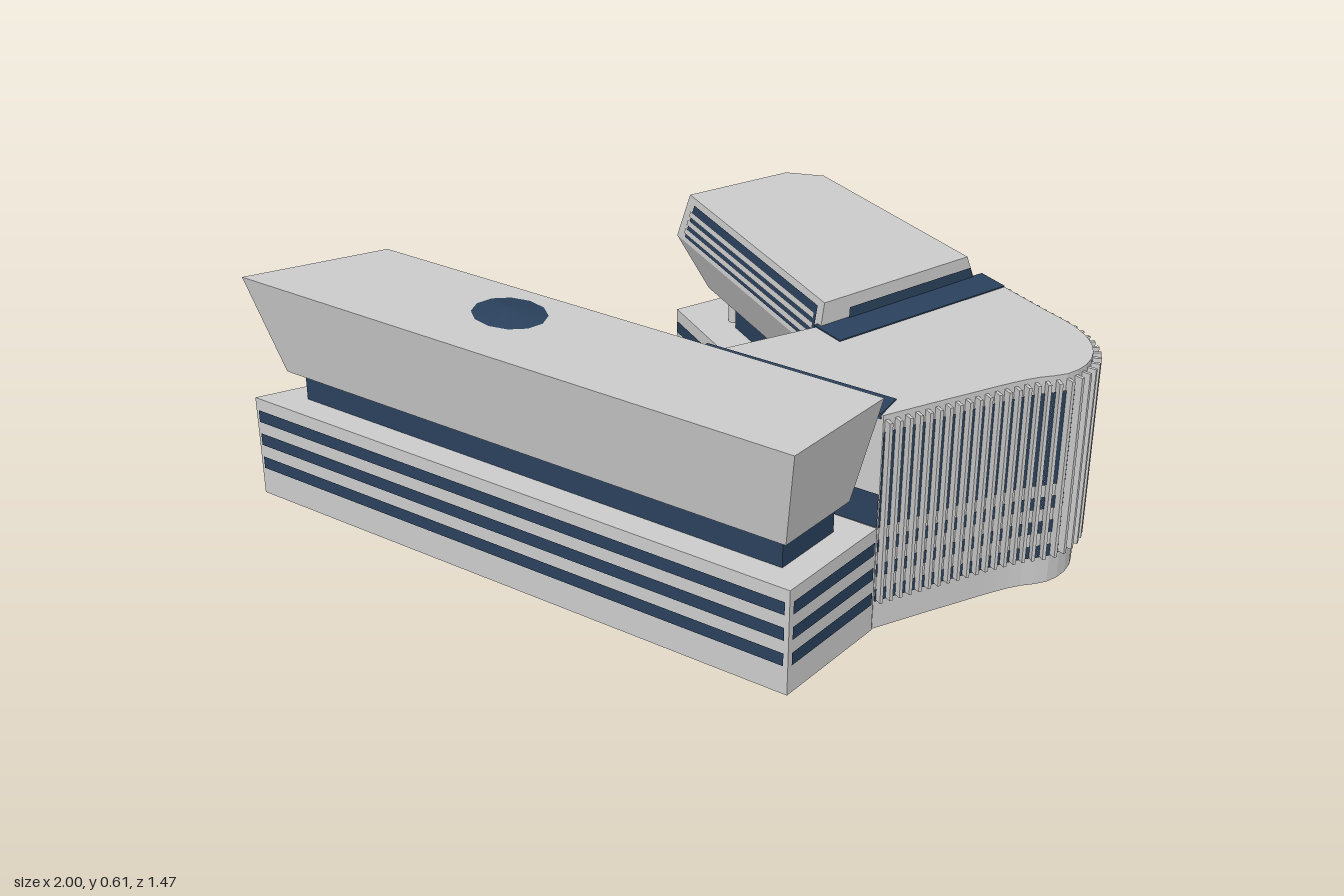
import * as THREE from 'three';

const GREY = new THREE.MeshStandardMaterial({ color: 0xcccccc, flatShading: true, side: THREE.DoubleSide });
const GLASS = new THREE.MeshStandardMaterial({ color: 0x2a415c, flatShading: true });

// Plan outlines as [x, z], counter-clockwise seen from above
const SOUTH = [[-1, 0.2], [0.423, 0.732], [0.565, 0.45], [-0.72, -0.03]];
const NORTH = [[0.36, 0.07], [0.70, -0.31], [0.28, -0.735], [0.13, -0.735], [-0.105, -0.51]];
const BOW = [[0.565, 0.445], [0.715, 0.32], [0.86, 0.205], [0.94, 0.16], [0.98, 0.09], [0.98, 0.01],
  [0.94, -0.07], [0.85, -0.16], [0.70, -0.31]];
const bowCurve = new THREE.CatmullRomCurve3(BOW.map(([x, z]) => new THREE.Vector3(x, 0, z)), false, 'centripetal');
const bow = bowCurve.getSpacedPoints(32).map(p => [p.x, p.z]);
const COURT = [[0.36, 0.06], [0.1, 0.275]];
const LOBBY = [...bow, ...COURT];

// Outward normal of the edge p -> q
function edgeNormal(p, q) {
  const dx = q[0] - p[0], dz = q[1] - p[1], l = Math.hypot(dx, dz);
  return [-dz / l, dx / l];
}

// Move each edge of an outline inwards by its own distance
function inset(poly, d) {
  const n = poly.length, dist = i => (Array.isArray(d) ? d[i] : d);
  return poly.map((v, i) => {
    const h = (i + n - 1) % n;
    const a = edgeNormal(poly[h], v), b = edgeNormal(v, poly[(i + 1) % n]);
    const ca = a[0] * v[0] + a[1] * v[1] - dist(h), cb = b[0] * v[0] + b[1] * v[1] - dist(i);
    const det = a[0] * b[1] - a[1] * b[0];
    return [(ca * b[1] - a[1] * cb) / det, (a[0] * cb - ca * b[0]) / det];
  });
}

function fromTriangles(pos) {
  const g = new THREE.BufferGeometry();
  g.setAttribute('position', new THREE.Float32BufferAttribute(pos, 3));
  g.computeVertexNormals();
  return g;
}

// Body through stacked outlines: layers = [[outline, y], ...] from the bottom up
function loft(layers, openBottom = false) {
  const rings = layers.map(([o, y]) => o.map(([x, z]) => [x, y, z]));
  const n = rings[0].length, pos = [];
  for (let k = 0; k + 1 < rings.length; k++) {
    for (let i = 0; i < n; i++) {
      const j = (i + 1) % n, lo = rings[k], up = rings[k + 1];
      pos.push(...lo[i], ...lo[j], ...up[j], ...lo[i], ...up[j], ...up[i]);
    }
  }
  const cap = (ring, flip) => {
    const tris = THREE.ShapeUtils.triangulateShape(ring.map(p => new THREE.Vector2(p[0], -p[2])), []);
    for (const [a, b, c] of tris) pos.push(...ring[a], ...ring[flip ? c : b], ...ring[flip ? b : c]);
  };
  if (!openBottom) cap(rings[0], true);
  cap(rings[rings.length - 1], false);
  return fromTriangles(pos);
}

// Panel lying on a wall between two outlines, from u0..u1 along and v0..v1 up
function patch([lo, y0], [up, y1], edge, u0, u1, v0, v1, off) {
  const j = (edge + 1) % lo.length;
  const P = (o, i, y) => new THREE.Vector3(o[i][0], y, o[i][1]);
  const a = P(lo, edge, y0), b = P(lo, j, y0), c = P(up, j, y1), d = P(up, edge, y1);
  const nrm = b.clone().sub(a).cross(d.clone().sub(a)).normalize().multiplyScalar(off);
  const at = (u, v) => a.clone().lerp(b, u).lerp(d.clone().lerp(c, u), v).add(nrm).toArray();
  const p = at(u0, v0), q = at(u1, v0), r = at(u1, v1), s = at(u0, v1);
  return fromTriangles([...p, ...q, ...r, ...p, ...r, ...s]);
}

export function createModel() {
  const model = new THREE.Group();
  const group = name => {
    const g = new THREE.Group();
    g.name = name;
    model.add(g);
    return g;
  };
  const add = (parent, name, geo, mat) => {
    const m = new THREE.Mesh(geo, mat);
    m.name = name;
    parent.add(m);
    return m;
  };

  // Thin glazed band on the outside of a wall p -> q
  const band = (parent, name, p, q, y0, y1, margin) => {
    const [nx, nz] = edgeNormal(p, q);
    const len = Math.hypot(q[0] - p[0], q[1] - p[1]) - 2 * margin;
    const m = add(parent, name, new THREE.PlaneGeometry(len, y1 - y0), GLASS);
    m.position.set((p[0] + q[0]) / 2 + nx * 0.003, (y0 + y1) / 2, (p[1] + q[1]) / 2 + nz * 0.003);
    m.rotation.y = Math.atan2(nx, nz);
  };
  const windowRows = (parent, p, q, margin = 0.01) => {
    for (const y of [0.075, 0.141, 0.206]) band(parent, 'windowRow', p, q, y, y + 0.033, margin);
  };
  const wing = (parent, outline, edges) => {
    add(parent, 'base', loft([[outline, 0], [outline, 0.27]], true), GREY);
    edges.forEach(i => windowRows(parent, outline[i], outline[(i + 1) % outline.length]));
  };

  // South wing: base, recessed glazing, upper storey that leans outwards
  const south = group('southWing');
  wing(south, SOUTH, [0, 1, 2, 3]);
  const southGlass = inset(SOUTH, 0.065);
  add(south, 'recessedGlazing', loft([[southGlass, 0.27], [southGlass, 0.346]]), GLASS);
  add(south, 'upperStorey', loft([[inset(SOUTH, 0.043), 0.345], [SOUTH, 0.595]]), GREY);
  const oculus = add(south, 'roofOculus', new THREE.ConeGeometry(0.083, 0.016, 12), GLASS);
  oculus.scale.x = 1.22;
  oculus.position.set(-0.325, 0.602, 0.242);
  oculus.rotation.y = -0.36;

  // North wing: base, recessed glazing, columns, faceted upper storey
  const north = group('northWing');
  wing(north, NORTH, [1, 2, 3, 4]);
  const northGlass = inset(NORTH, [0, 0.08, 0.16, 0.17, 0.09]);
  add(north, 'recessedGlazing', loft([[northGlass, 0.27], [northGlass, 0.362]]), GLASS);
  const under = [inset(NORTH, [0, 0.06, 0.09, 0.09, 0.05]), 0.36];
  const waist = [NORTH, 0.485];
  const top = [inset(NORTH, [0, 0.052, 0.04, 0.04, 0.018]), 0.61];
  add(north, 'upperStorey', loft([under, waist, top]), GREY);
  for (const [x, z] of [[0.2, -0.575], [0.055, -0.48]]) {
    add(north, 'column', new THREE.CylinderGeometry(0.015, 0.015, 0.11, 16), GREY).position.set(x, 0.32, z);
  }
  // Louvre, end window, slatted side window and the window over the lobby roof
  add(north, 'louvrePanel', patch(waist, top, 1, 0.63, 0.96, 0.1, 0.9, 0.004), GLASS);
  for (let i = 0; i < 7; i++) {
    const v = 0.18 + i * 0.1;
    add(north, 'louvreSlat', patch(waist, top, 1, 0.63, 0.96, v, v + 0.02, 0.012), GREY);
  }
  add(north, 'endWindow', patch(waist, top, 3, 0.22, 0.35, 0.06, 0.98, 0.004), GLASS);
  add(north, 'sideWindow', patch(waist, top, 4, 0.06, 0.97, 0.12, 0.88, 0.004), GLASS);
  for (const v of [0.22, 0.42, 0.62]) {
    add(north, 'sideSlat', patch(waist, top, 4, 0.06, 0.97, v, v + 0.12, 0.01), GREY);
  }
  add(north, 'highWindow', patch(waist, top, 0, 0.17, 0.99, 0.53, 0.76, 0.004), GLASS);

  // Lobby between the wings: body and glazing behind upright fins
  const lobby = group('lobby');
  add(lobby, 'body', loft([[LOBBY, 0], [LOBBY, 0.55]], true), GREY);
  for (let i = 0; i + 1 < bow.length; i++) {
    band(lobby, 'bowGlazing', bow[i], bow[i + 1], 0.27, 0.51, 0);
    windowRows(lobby, bow[i], bow[i + 1], 0);
  }
  windowRows(lobby, ...COURT);
  band(lobby, 'courtGlazing', ...COURT, 0.27, 0.42, 0);
  band(lobby, 'southGlazing', COURT[1], bow[0], 0.27, 0.355, 0);
  const FINS = 42;
  for (let i = 0; i < FINS; i++) {
    const u = 0.008 + 0.984 * i / (FINS - 1);
    const p = bowCurve.getPointAt(u), t = bowCurve.getTangentAt(u);
    const fin = add(lobby, 'fin', new THREE.BoxGeometry(0.008, 0.46, 0.024), GREY);
    fin.position.set(p.x - t.z * 0.008, 0.308, p.z + t.x * 0.008);
    fin.rotation.y = Math.atan2(-t.z, t.x);
  }

  // Flat glazed strips on the lobby roof beside each wing
  const southStrip = [[0.1, 0.28], [0.56, 0.445], [0.582, 0.37], [0.13, 0.205]];
  const northStrip = [[0.35, 0.06], [0.42, 0.125], [0.76, -0.25], [0.70, -0.31]];
  for (const strip of [southStrip, northStrip]) {
    add(lobby, 'roofGlazing', loft([[strip, 0.54], [strip, 0.553]]), GLASS);
  }

  // Pointed glass dome leaning off the courtyard wall, with light ribs and rings
  const dome = group('glassDome');
  dome.position.set(-0.28, 0.25, 0.138);
  const lean = new THREE.Matrix4().makeShear(0, 0, -0.07, -0.2, 0, 0);
  const profile = [[0.213, 0], [0.185, 0.1], [0.13, 0.195], [0.065, 0.262], [0, 0.31]]
    .map(([r, y]) => new THREE.Vector2(r, y));
  const SIDES = 12;
  add(dome, 'shell', new THREE.LatheGeometry(profile, SIDES).applyMatrix4(lean), GLASS);
  for (let i = 0; i < SIDES; i++) {
    const a = (i / SIDES) * Math.PI * 2;
    const path = new THREE.CurvePath();
    const pts = profile.map(p => new THREE.Vector3(p.x * Math.sin(a), p.y, p.x * Math.cos(a)));
    for (let k = 0; k + 1 < pts.length; k++) path.add(new THREE.LineCurve3(pts[k], pts[k + 1]));
    add(dome, 'rib', new THREE.TubeGeometry(path, 12, 0.002, 4).applyMatrix4(lean), GREY);
  }
  for (const p of profile.slice(1, 4)) {
    const ring = new THREE.TorusGeometry(p.x, 0.002, 4, SIDES).rotateX(Math.PI / 2).translate(0, p.y, 0);
    add(dome, 'ring', ring.applyMatrix4(lean), GREY);
  }
  return model;
}
